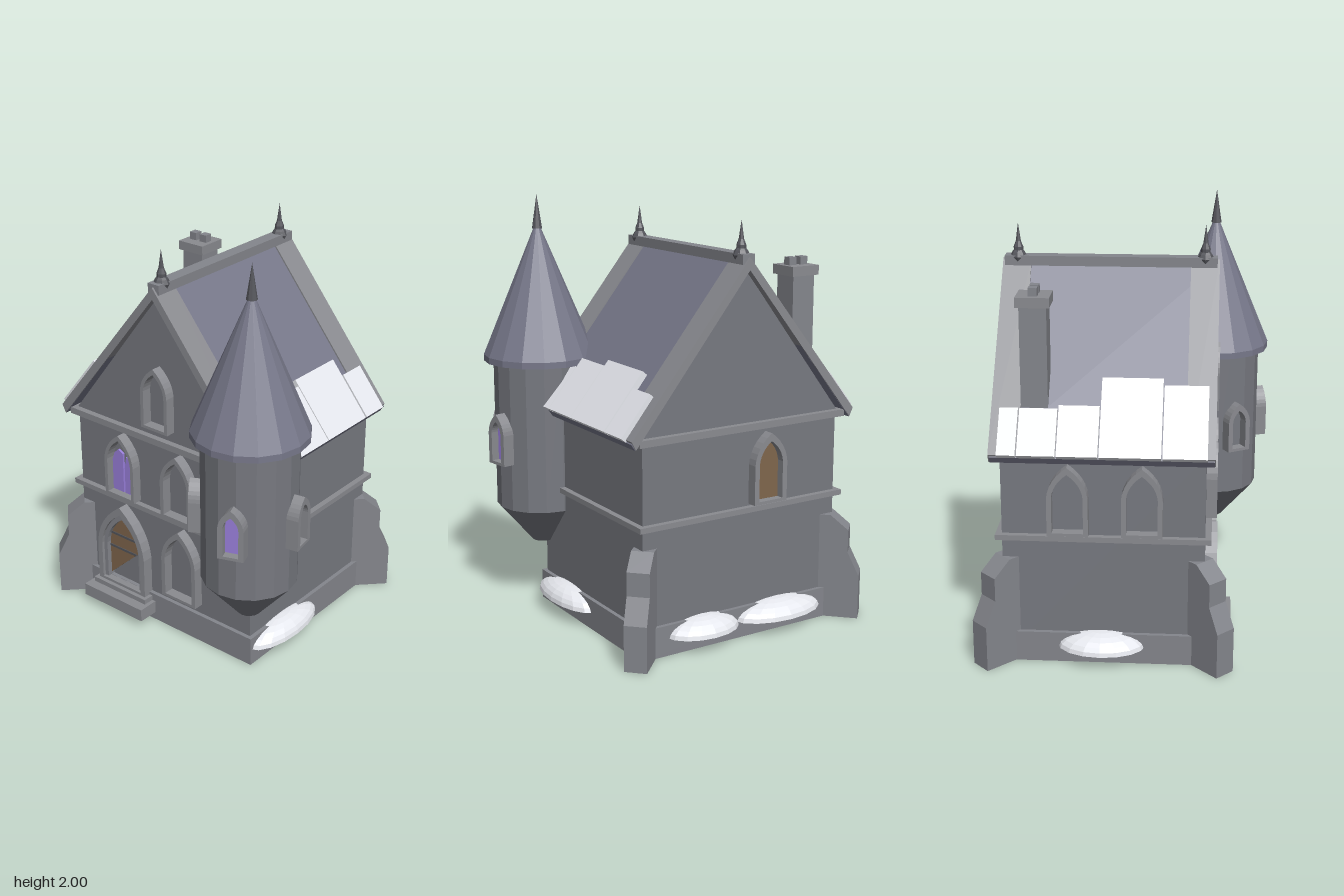
import * as THREE from 'three';

const mat = (color) => new THREE.MeshStandardMaterial({ color, flatShading: true, side: THREE.DoubleSide });
const WALL = mat(0x777980), TRIM = mat(0x8a8b90), ROOF = mat(0x77788a), STONE = mat(0x84868c);
const SNOW = mat(0xe6e8ee), GLASS = mat(0x9a80dc), WOOD = mat(0x80664c), IRON = mat(0x55565c);

// House centre, half sizes, and roof slope
const CX = -0.073, CZ = -0.075, HX = 0.53, HZ = 0.455;
const EAVE = 1.01, RUN = 0.605, RISE = 0.745, SLOPE = Math.atan2(RISE, RUN);

function add(parent, name, geo, material, x = 0, y = 0, z = 0) {
  const m = new THREE.Mesh(geo, material);
  m.name = name;
  m.position.set(x, y, z);
  parent.add(m);
  return m;
}

// Box given by its limits
function box(parent, name, material, x0, x1, y0, y1, z0, z1) {
  return add(parent, name, new THREE.BoxGeometry(x1 - x0, y1 - y0, z1 - z0), material,
    (x0 + x1) / 2, (y0 + y1) / 2, (z0 + z1) / 2);
}

const extrude = (shape, depth) =>
  new THREE.ExtrudeGeometry(shape, { depth, bevelEnabled: false, curveSegments: 6 });
const polygon = (pts) => new THREE.Shape(pts.map(([x, y]) => new THREE.Vector2(x, y)));

// Pointed arch outline; the bottom may slant from left to right
function arch(hw, h, left = 0, right = 0) {
  const spring = h - hw * 1.6, mid = spring + hw * 0.95;
  const s = new THREE.Shape();
  s.moveTo(-hw, left);
  s.lineTo(hw, right);
  s.lineTo(hw, spring);
  s.quadraticCurveTo(hw * 0.92, mid, 0, h);
  s.quadraticCurveTo(-hw * 0.92, mid, -hw, spring);
  s.closePath();
  return s;
}

function archFrame(hw, h, border, depth) {
  const s = arch(hw, h);
  const inner = arch(hw - border, h - border * 1.5, 0.014, 0.014);
  s.holes.push(new THREE.Path(inner.getPoints(6).reverse()));
  return extrude(s, depth);
}

// Window frame facing local +z, with an optional pane
function archWindow(parent, name, x, y, z, turn, hw, h, border, pane) {
  const g = new THREE.Group();
  g.name = name;
  g.position.set(x, y, z);
  g.rotation.y = turn;
  add(g, 'windowFrame', archFrame(hw, h, border, 0.06), TRIM, 0, 0, -0.01);
  if (pane) add(g, 'windowPane', extrude(arch(hw - border, h - border * 1.5), 0.012), pane);
  parent.add(g);
  return g;
}

// Roof cross-section: a bent strip of the given thickness
function roofStrip(lift, thick, z0, z1) {
  const top = EAVE + RISE + lift, low = EAVE + lift;
  return extrude(polygon([[-RUN, low], [0, top], [RUN, low], [RUN - 0.02, low - thick],
    [0, top - thick * 1.4], [-RUN + 0.02, low - thick]]), z1 - z0).translate(CX, 0, z0);
}

function finial(parent, x, y, z) {
  const pts = [[0, -0.03], [0.03, -0.025], [0.04, 0], [0.03, 0.02], [0.022, 0.03], [0.022, 0.045], [0.012, 0.07], [0, 0.155]];
  add(parent, 'roofFinial', new THREE.LatheGeometry(pts.map((p) => new THREE.Vector2(...p)), 8), IRON, x, y, z);
}

function buildHouse(root) {
  const g = new THREE.Group();
  g.name = 'house';
  root.add(g);
  const block = (name, m, y0, y1, o) =>
    box(g, name, m, CX - HX - o, CX + HX + o, y0, y1, CZ - HZ - o, CZ + HZ + o);
  block('walls', WALL, 0.02, 1.01, 0);
  block('plinth', STONE, 0, 0.145, 0.02);
  block('middleBand', TRIM, 0.6, 0.625, 0.028);
  block('topBand', TRIM, 0.985, 1.017, 0.03);
  add(g, 'gableWalls', extrude(polygon([[-HX - 0.02, 1.0], [HX + 0.02, 1.0], [0, 1.715]]), HZ * 2),
    WALL, CX, 0, CZ - HZ);

  // Roof, raised gable copings and ridge
  add(g, 'roof', roofStrip(0, 0.03, -0.565, 0.415), ROOF);
  add(g, 'backCoping', roofStrip(0.012, 0.04, -0.57, -0.44), TRIM);
  add(g, 'frontCoping', roofStrip(0.012, 0.04, 0.29, 0.42), TRIM);
  box(g, 'ridge', STONE, CX - 0.032, CX + 0.032, 1.735, 1.78, -0.56, 0.41);
  for (const z of [-0.5, 0.355]) finial(g, CX, 1.772, z);

  // Chimney
  box(g, 'chimneyStack', STONE, -0.53, -0.41, 1.0, 1.65, -0.44, -0.32);
  box(g, 'chimneyCap', TRIM, -0.545, -0.395, 1.645, 1.69, -0.455, -0.305);
  for (const x of [-0.5, -0.437]) box(g, 'chimneyPot', STONE, x - 0.02, x + 0.02, 1.68, 1.727, -0.4, -0.36);

  // Corner buttresses, stepped and set diagonally; the tower takes the fourth corner
  const profile = polygon([[-0.1, 0], [0.14, 0], [0.14, 0.215], [0.085, 0.33], [0.085, 0.44], [0, 0.51], [-0.1, 0.51]]);
  for (const [sx, sz] of [[-1, 1], [-1, -1], [1, -1]]) {
    const b = add(g, 'buttress', extrude(profile, 0.104).translate(0, 0, -0.052), STONE, CX + sx * HX, 0, CZ + sz * HZ);
    b.rotation.y = Math.atan2(-sz, sx);
  }
}

function buildOpenings(root) {
  const front = CZ + HZ, back = CZ - HZ, left = CX - HX;
  // Front windows
  const broken = archWindow(root, 'brokenWindow', -0.307, 0.635, front, 0, 0.092, 0.335, 0.018);
  for (const pts of [
    [[-0.075, 0], [-0.006, 0], [-0.006, 0.222], [-0.035, 0.238], [-0.06, 0.215], [-0.075, 0.17]],
    [[0.004, 0], [0.073, 0], [0.073, 0.185], [0.015, 0.212], [0.004, 0.15]],
  ]) add(broken, 'glassShard', extrude(polygon(pts), 0.012), GLASS);
  archWindow(root, 'upperWindow', 0.047, 0.635, front, 0, 0.092, 0.335, 0.02);
  archWindow(root, 'lowerWindow', 0.058, 0.195, front, 0, 0.105, 0.38, 0.022);
  archWindow(root, 'gableWindow', CX, 1.07, front, 0, 0.08, 0.31, 0.018);
  // Back and side windows
  archWindow(root, 'backWindow', -0.2, 0.635, back, Math.PI, 0.09, 0.33, 0.025, WOOD);
  for (const z of [-0.23, 0.1]) archWindow(root, 'sideWindow', left, 0.635, z, -Math.PI / 2, 0.092, 0.325, 0.022);

  // Door with broken planks and steps
  const door = new THREE.Group();
  door.name = 'door';
  door.position.set(-0.31, 0.13, front);
  add(door, 'outerDoorFrame', archFrame(0.153, 0.45, 0.028, 0.055), TRIM);
  add(door, 'innerDoorFrame', archFrame(0.13, 0.415, 0.026, 0.04), STONE);
  add(door, 'doorPlanks', extrude(arch(0.102, 0.375, 0.03, 0.22), 0.018), WOOD);
  box(door, 'doorRail', IRON, -0.1, 0.1, 0.262, 0.274, 0, 0.022);
  box(door, 'doorRail', IRON, -0.1, 0.07, 0.186, 0.198, 0, 0.022);
  root.add(door);
  box(root, 'lowerStep', TRIM, -0.5, -0.12, 0.042, 0.105, 0.35, 0.505);
  box(root, 'upperStep', TRIM, -0.48, -0.14, 0.105, 0.13, 0.35, 0.455);
}

function buildTower(root) {
  const g = new THREE.Group();
  g.name = 'tower';
  g.position.set(0.465, 0, 0.4);
  root.add(g);
  const ring = (name, m, r1, r0, y0, y1) =>
    add(g, name, new THREE.CylinderGeometry(r1, r0, y1 - y0, 16), m, 0, (y0 + y1) / 2, 0);
  ring('towerBase', WALL, 0.222, 0.055, 0.31, 0.505);
  ring('towerWall', WALL, 0.222, 0.222, 0.505, 1.225);
  ring('towerEaves', ROOF, 0.267, 0.267, 1.215, 1.245);
  ring('towerRoof', ROOF, 0.012, 0.267, 1.245, 1.855);
  add(g, 'towerSpike', new THREE.ConeGeometry(0.025, 0.16, 8), IRON, 0, 1.92, 0);
  // Three narrow windows spaced around the outer side
  for (const deg of [-60, 20, 100]) {
    const a = THREE.MathUtils.degToRad(deg), r = 0.219;
    archWindow(g, 'towerWindow', Math.sin(a) * r, 0.735, Math.cos(a) * r, a, 0.06, 0.245, 0.024,
      deg < 0 ? null : GLASS);
  }
}

function buildSnow(root) {
  const g = new THREE.Group();
  g.name = 'snow';
  root.add(g);
  // Slabs along the eaves: side, z start, z end, horizontal width
  for (const [s, z0, z1, w] of [
    [1, -0.52, -0.38, 0.145], [1, -0.37, -0.07, 0.2], [1, -0.065, 0.14, 0.18], [1, 0.145, 0.3, 0.15],
    [-1, -0.53, -0.448, 0.14], [-1, -0.442, -0.275, 0.14], [-1, -0.27, -0.09, 0.15],
    [-1, -0.085, 0.185, 0.235], [-1, 0.19, 0.385, 0.215],
  ]) {
    const len = w / Math.cos(SLOPE), lift = 0.014;
    const slab = add(g, 'roofSlab', new THREE.BoxGeometry(len, 0.034, z1 - z0), SNOW,
      CX + s * (RUN - w / 2 + Math.sin(SLOPE) * lift),
      EAVE + Math.sin(SLOPE) * len / 2 + Math.cos(SLOPE) * lift, (z0 + z1) / 2);
    slab.rotation.z = -s * SLOPE;
  }
  // Low drifts against the plinth
  for (const [x, z, rx, rz] of [
    [-0.275, -0.53, 0.24, 0.13], [0.145, -0.53, 0.19, 0.125], [-0.6, -0.085, 0.13, 0.2], [0.465, 0.145, 0.1, 0.245],
  ]) {
    const dome = new THREE.SphereGeometry(1, 16, 6, 0, Math.PI * 2, 0, Math.PI / 2);
    add(g, 'snowDrift', dome, SNOW, x, 0.08, z).scale.set(rx, 0.075, rz);
    const base = new THREE.CircleGeometry(1, 16).rotateX(Math.PI / 2);
    add(g, 'driftBase', base, SNOW, x, 0.08, z).scale.set(rx, 1, rz);
  }
}

export function createModel() {
  const root = new THREE.Group();
  root.name = 'towerHouse';
  buildHouse(root);
  buildOpenings(root);
  buildTower(root);
  buildSnow(root);
  return root;
}
